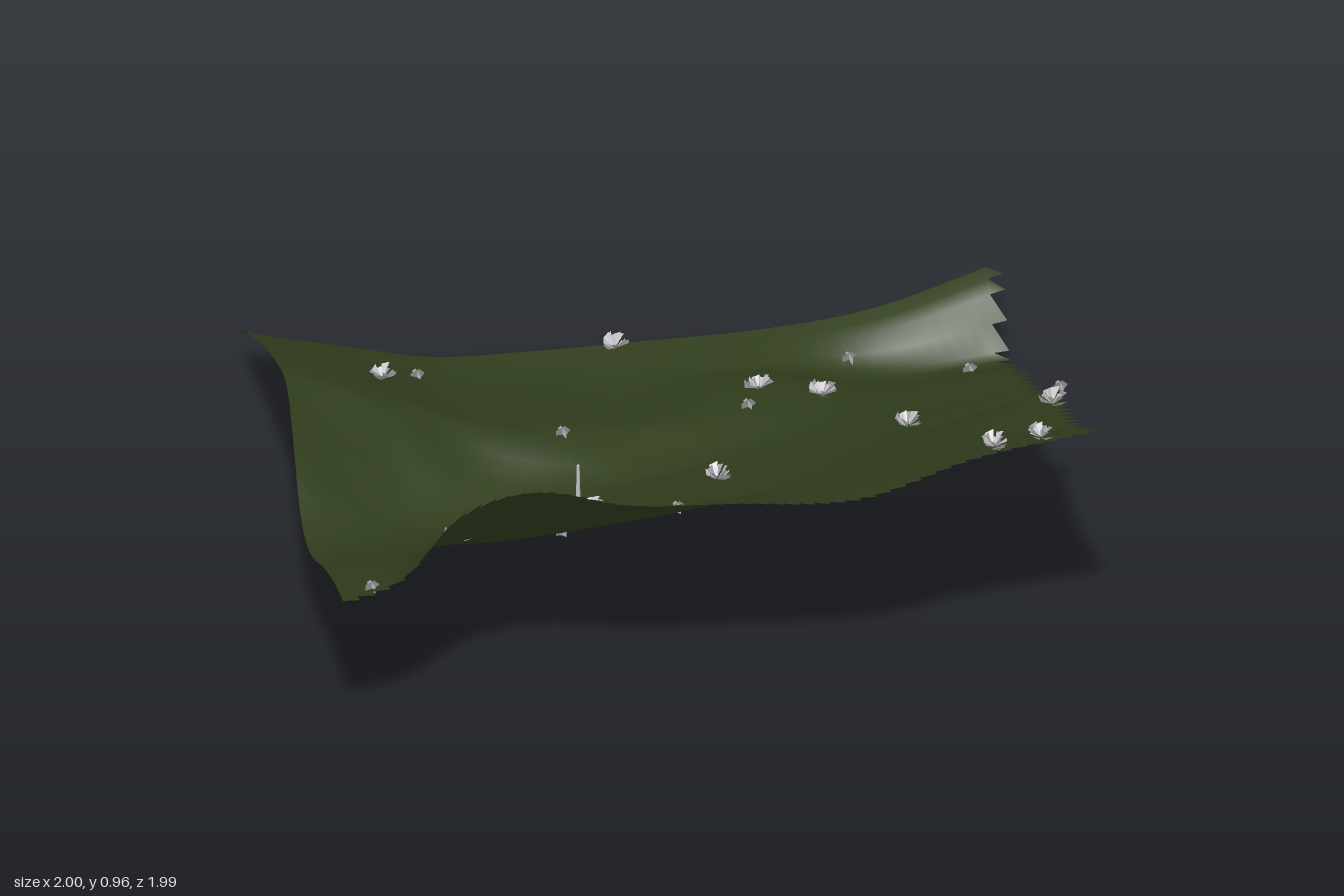
import * as THREE from 'three';

const X = [-1, -0.84, -0.7, -0.5, -0.25, 0, 0.35, 0.65, 0.97];
const Z = [-1, -0.92, -0.83, -0.6, -0.4, -0.3, -0.2, -0.1, 0, 0.12, 0.3, 0.6, 0.8, 1];
// Terrain cross-sections: one row of heights along Z for each station in X
const SECTIONS = [
  [0.17, 0.225, 0.27, 0.39, 0.48, 0.52, 0.555, 0.55, 0.46, 0.335, 0.33, 0.47, 0.55, 0.61],
  [0.13, 0.17, 0.215, 0.33, 0.42, 0.46, 0.48, 0.40, 0.30, 0.27, 0.32, 0.48, 0.58, 0.68],
  [0.095, 0.13, 0.165, 0.265, 0.35, 0.385, 0.38, 0.27, 0.215, 0.235, 0.32, 0.52, 0.68, 0.87],
  [0.05, 0.07, 0.09, 0.17, 0.25, 0.285, 0.22, 0.18, 0.18, 0.215, 0.32, 0.575, 0.77, 0.925],
  [0.045, 0.05, 0.065, 0.13, 0.20, 0.205, 0.16, 0.17, 0.205, 0.245, 0.34, 0.58, 0.72, 0.86],
  [0.05, 0.055, 0.06, 0.115, 0.175, 0.16, 0.165, 0.205, 0.25, 0.295, 0.375, 0.59, 0.72, 0.84],
  [0.06, 0.055, 0.05, 0.155, 0.19, 0.205, 0.235, 0.28, 0.325, 0.37, 0.455, 0.62, 0.725, 0.82],
  [0.10, 0.075, 0.01, 0.10, 0.175, 0.22, 0.27, 0.315, 0.365, 0.44, 0.565, 0.72, 0.82, 0.92],
  [0.21, 0.175, 0.035, 0.15, 0.25, 0.29, 0.34, 0.38, 0.45, 0.55, 0.62, 0.735, 0.865, 0.98],
];

// Smooth cubic through unevenly spaced samples
function spline(t, v, x) {
  let i = 0;
  while (i < t.length - 2 && x > t[i + 1]) i++;
  const slope = (k) => {
    const a = Math.max(k - 1, 0), b = Math.min(k + 1, t.length - 1);
    return (v[b] - v[a]) / (t[b] - t[a]);
  };
  const d = t[i + 1] - t[i], u = (x - t[i]) / d, u2 = u * u, u3 = u2 * u;
  return (2 * u3 - 3 * u2 + 1) * v[i] + (u3 - 2 * u2 + u) * d * slope(i)
    + (3 * u2 - 2 * u3) * v[i + 1] + (u3 - u2) * d * slope(i + 1);
}

const heightAt = (x, z) => Math.max(0, spline(X, SECTIONS.map((s) => spline(Z, s, z)), x));

function surface(positions, index) {
  const g = new THREE.BufferGeometry();
  g.setAttribute('position', new THREE.Float32BufferAttribute(positions, 3));
  if (index) g.setIndex(index);
  g.computeVertexNormals();
  return g;
}

// Hillside grid; the last row and column keep one triangle per cell, giving a serrated edge
function terrainGeometry() {
  const n = 50, size = 1.985, pos = [], idx = [];
  for (let j = 0; j <= n; j++) {
    for (let i = 0; i <= n; i++) {
      const x = -1 + (size * i) / n, z = -1 + (size * j) / n;
      pos.push(x, heightAt(x, z), z);
    }
  }
  for (let j = 0; j < n; j++) {
    for (let i = 0; i < n; i++) {
      const a = j * (n + 1) + i, b = a + 1, c = a + n + 1, d = c + 1;
      if (i < n - 1) idx.push(a, d, b);
      if (j < n - 1) idx.push(a, c, d);
    }
  }
  return surface(pos, idx);
}

function seeded(seed) {
  let s = seed * 7919 + 17;
  return () => (s = (s * 16807) % 2147483647) / 2147483647;
}

// Ring of short leaves leaning outwards
function leafGeometry(seed, radius, height, count) {
  const rnd = seeded(seed), pos = [];
  for (let k = 0; k < count; k++) {
    const a = (k / count) * Math.PI * 2 + rnd(), r = radius * (0.6 + 0.4 * rnd());
    const h = height * (0.5 + 0.5 * rnd()), w = 0.35;
    pos.push(Math.cos(a) * r * 0.1, 0, Math.sin(a) * r * 0.1,
      Math.cos(a + w) * r, h, Math.sin(a + w) * r,
      Math.cos(a - w) * r, h * 0.75, Math.sin(a - w) * r);
  }
  return surface(pos);
}

export function createModel() {
  const model = new THREE.Group();
  const mat = (name, color) => new THREE.MeshStandardMaterial({ name, color, side: THREE.DoubleSide });
  const grass = mat('grass green', 0x323f1e);
  const light = mat('light grey', 0xc6c6c8);
  const dark = mat('mid grey', 0x8c8a90);
  const add = (parent, name, geometry, material) => {
    const m = new THREE.Mesh(geometry, material);
    m.name = name;
    parent.add(m);
    return m;
  };

  add(model, 'hillside', terrainGeometry(), grass);

  // Dry shrubs scattered over the slope
  const shrubs = [[-0.03, -0.965], [-0.69, -0.56], [0.29, -0.55], [0.45, -0.5], [0.62, -0.11],
    [-0.23, 0.07], [0.1, 0.05], [0.94, 0.32], [-0.63, 0.45], [0.71, 0.89], [0.83, 0.9]];
  shrubs.forEach(([x, z], i) => {
    const shrub = new THREE.Group();
    shrub.name = 'shrub';
    shrub.position.set(x, heightAt(x, z) + 0.008, z);
    add(shrub, 'outerLeaves', leafGeometry(i + 1, 0.041, 0.03, 10), dark);
    add(shrub, 'innerLeaves', leafGeometry(i + 40, 0.036, 0.04, 10), light);
    model.add(shrub);
  });

  // Thin upright weeds
  const weeds = [[-0.92, 0.91], [-0.33, 0.24], [-0.03, 0.24], [-0.57, -0.8], [0.25, -0.46],
    [0.57, -0.87], [0.87, -0.76], [-0.25, -0.35], [0.98, 0.17]];
  for (const [x, z] of weeds) {
    const y = heightAt(x, z);
    for (const turn of [0, Math.PI / 2]) {
      const blade = add(model, 'weed', new THREE.CircleGeometry(0.024, 5), turn ? light : dark);
      blade.scale.y = 0.75;
      blade.rotation.y = turn + 0.4;
      blade.position.set(x, y + 0.006, z);
    }
  }

  // Bare twig in the hollow
  const twig = add(model, 'twig', new THREE.CylinderGeometry(0.004, 0.007, 0.13, 5), light);
  twig.position.set(-0.25, heightAt(-0.25, -0.05) + 0.055, -0.05);
  return model;
}
